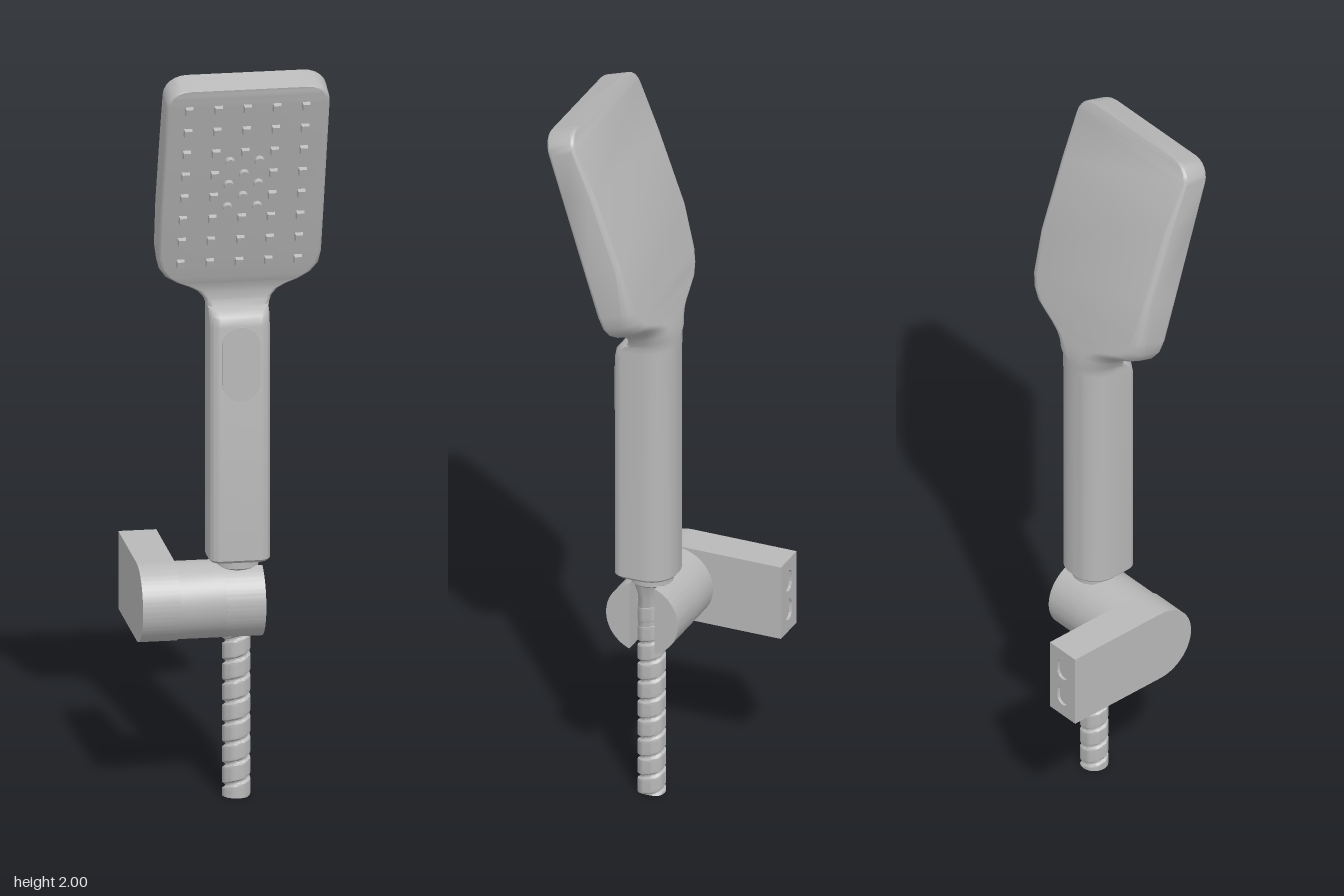
import * as THREE from 'three';
import { toCreasedNormals } from 'three/addons/utils/BufferGeometryUtils.js';

const CX = 0.02; // centre line of head, handle and hose
const CZ = 0.04; // depth of handle and holder axis
const HOLD_Y = 0.535;

// Rounded-rectangle ring between a front point and a back point
function ring([fy, fz, by, bz, w, rf, rb], seg = 7) {
  const T = Math.hypot(fy - by, fz - bz);
  const corners = [[1, 1, rf, 90], [1, -1, rb, 0], [-1, -1, rb, -90], [-1, 1, rf, -180]];
  const pts = [];
  for (const [sx, st, r, start] of corners) {
    for (let i = 0; i <= seg; i++) {
      const a = THREE.MathUtils.degToRad(start - (90 * i) / seg);
      const x = sx * (w - r) + r * Math.cos(a);
      const k = ((st > 0 ? T - r : r) + r * Math.sin(a)) / T;
      pts.push([CX + x, by + (fy - by) * k, bz + (fz - bz) * k]);
    }
  }
  return pts;
}

// Skin a list of rings and close both ends
function loft(rings) {
  const n = rings[0].length;
  const pos = rings.flat(2);
  const idx = [];
  for (let i = 0; i < rings.length - 1; i++) {
    for (let j = 0; j < n; j++) {
      const a = i * n + j, b = i * n + ((j + 1) % n);
      idx.push(a, b, b + n, a, b + n, a + n);
    }
  }
  const top = (rings.length - 1) * n;
  for (let j = 1; j < n - 1; j++) {
    idx.push(0, j + 1, j, top, top + j, top + j + 1);
  }
  const g = new THREE.BufferGeometry();
  g.setAttribute('position', new THREE.Float32BufferAttribute(pos, 3));
  g.setIndex(idx);
  return toCreasedNormals(g, 0.6);
}

// Upright pill outline
function pill(cx, cy, w, h, Type = THREE.Shape) {
  const s = new Type();
  s.absarc(cx, cy + h - w, w, 0, Math.PI, false);
  s.absarc(cx, cy - h + w, w, Math.PI, Math.PI * 2, false);
  s.closePath();
  return s;
}

// Extrude a (-z, y) outline along x from x0 to x1
function extrudeX(shape, x0, x1) {
  const g = new THREE.ExtrudeGeometry(shape, { depth: x1 - x0, bevelEnabled: false, curveSegments: 28 });
  g.rotateY(Math.PI / 2);
  g.translate(x0, 0, 0);
  return toCreasedNormals(g, 0.6);
}

export function createModel() {
  const model = new THREE.Group();
  const metal = new THREE.MeshStandardMaterial({ color: 0xb8b8b8 });
  metal.name = 'satin grey';
  const add = (name, geo, parent = model) => {
    const m = new THREE.Mesh(geo, metal);
    m.name = name;
    parent.add(m);
    return m;
  };

  // Handle, scooped neck and tilted head: frontY, frontZ, backY, backZ, half width, radii
  const rows = [
    [0.65, 0.114, 0.65, -0.029, 0.074, 0.03, 0.066],
    [0.657, 0.12, 0.657, -0.035, 0.08, 0.03, 0.07],
    [1.29, 0.12, 1.30, -0.035, 0.08, 0.03, 0.07],
    [1.315, 0.115, 1.33, -0.036, 0.08, 0.03, 0.07],
    [1.33, 0.10, 1.35, -0.036, 0.08, 0.03, 0.07],
    [1.337, 0.08, 1.365, -0.035, 0.083, 0.02, 0.06],
    [1.355, 0.074, 1.385, -0.032, 0.09, 0.02, 0.06],
    [1.375, 0.072, 1.405, -0.027, 0.108, 0.02, 0.06],
    [1.39, 0.074, 1.42, -0.022, 0.135, 0.02, 0.06],
    [1.402, 0.077, 1.435, -0.017, 0.165, 0.02, 0.055],
    [1.42, 0.082, 1.45, -0.012, 0.193, 0.018, 0.05],
    [1.445, 0.09, 1.475, -0.004, 0.21, 0.015, 0.04],
    [1.48, 0.101, 1.51, 0.005, 0.215, 0.012, 0.03],
    [1.60, 0.138, 1.63, 0.036, 0.215, 0.01, 0.02],
    [1.80, 0.2, 1.83, 0.111, 0.215, 0.01, 0.015],
  ];
  // Rounded upper corners, from the sides round to the top edge
  for (let i = 0; i <= 6; i++) {
    const a = (i / 6) * (Math.PI / 2);
    const d = 0.05 * (1 - Math.sin(a));
    const w = 0.165 + 0.05 * Math.cos(a);
    rows.push([1.975 - d * 0.955, 0.255 - d * 0.297, 2 - d * 0.94, 0.18 - d * 0.35, w, 0.01, 0.012]);
  }
  add('handleAndHead', loft(rows.map((r) => ring(r))));

  // Spray nozzles on the sloping face
  const nozzles = new THREE.Group();
  nozzles.name = 'nozzles';
  model.add(nozzles);
  const squareNozzle = new THREE.CylinderGeometry(0.013, 0.018, 0.024, 4).rotateY(Math.PI / 4).toNonIndexed();
  squareNozzle.computeVertexNormals();
  const roundNozzle = new THREE.CylinderGeometry(0.012, 0.015, 0.024, 10);
  const addNozzle = (geo, x, y) => {
    const m = add('nozzle', geo, nozzles);
    m.position.set(x, y, 0.101 + (y - 1.48) * 0.311);
    m.rotation.x = Math.PI / 2 + 0.301;
  };
  for (let r = 0; r < 8; r++) {
    for (let c = -2; c <= 2; c++) {
      const inner = c === 0 && r >= 3 && r <= 4;
      addNozzle(inner ? roundNozzle : squareNozzle, 0.018 + c * 0.077, 1.92 - r * 0.065);
    }
  }
  for (const y of [1.763, 1.695, 1.628]) {
    for (const s of [-1, 1]) addNozzle(roundNozzle, 0.018 + s * 0.039, y);
  }

  // Push button
  const button = new THREE.ExtrudeGeometry(pill(CX, 1.19, 0.05, 0.1), {
    depth: 0.007, bevelEnabled: false, curveSegments: 16,
  });
  add('button', toCreasedNormals(button, 0.6)).position.z = 0.117;

  // Collar tapering into the holder
  const collar = new THREE.LatheGeometry(
    [[0, 0.49], [0.036, 0.49], [0.036, 0.58], [0.048, 0.62], [0.058, 0.628], [0.058, 0.655], [0, 0.655]]
      .map(([x, y]) => new THREE.Vector2(x, y)), 32);
  add('collar', toCreasedNormals(collar, 0.5)).position.set(CX, 0, CZ);

  // Hose with a spiral groove
  const len = 0.56, pitch = 0.056;
  const hose = new THREE.CylinderGeometry(0.037, 0.037, len, 28, 180);
  hose.translate(0, len / 2, 0);
  const p = hose.attributes.position;
  for (let i = 0; i < p.count; i++) {
    const x = p.getX(i), z = p.getZ(i);
    const t = p.getY(i) / pitch + Math.atan2(z, x) / (Math.PI * 2);
    const f = Math.abs(t - Math.floor(t) - 0.5) * 2; // 1 in the groove
    const k = 1 - 0.2 * THREE.MathUtils.smoothstep(f, 0.72, 0.92);
    p.setX(i, x * k);
    p.setZ(i, z * k);
  }
  add('hose', toCreasedNormals(hose, 0.7)).position.set(CX, 0, CZ);

  // Holder barrel with a two-pronged fork open at the side
  const holder = new THREE.Group();
  holder.name = 'holder';
  model.add(holder);
  const R = 0.102;
  const disc = new THREE.Shape().absarc(-CZ, HOLD_Y, R, 0, Math.PI * 2, false);
  add('barrel', extrudeX(disc, -0.145, -0.02), holder);
  const half = Math.acos(0.036 / R);
  for (const mid of [0, Math.PI]) {
    const s = new THREE.Shape().absarc(-CZ, HOLD_Y, R, mid - half, mid + half, false);
    s.closePath();
    add('prong', extrudeX(s, -0.02, 0.083), holder);
  }

  // Wall bracket: round front, flat back
  const arm = new THREE.Shape();
  arm.moveTo(0.247, HOLD_Y - 0.105);
  arm.lineTo(0.247, HOLD_Y + 0.105);
  arm.lineTo(-CZ, HOLD_Y + 0.105);
  arm.absarc(-CZ, HOLD_Y, 0.105, Math.PI / 2, Math.PI * 1.5, false);
  arm.closePath();
  add('wallArm', extrudeX(arm, -0.242, -0.142), holder);

  // Back plate with two screw slots
  const plate = new THREE.Shape();
  plate.moveTo(-0.05, -0.105);
  plate.lineTo(0.05, -0.105);
  plate.lineTo(0.05, 0.105);
  plate.lineTo(-0.05, 0.105);
  plate.closePath();
  for (const y of [-0.042, 0.042]) plate.holes.push(pill(0, y, 0.02, 0.03, THREE.Path));
  const plateGeo = new THREE.ExtrudeGeometry(plate, { depth: 0.009, bevelEnabled: false, curveSegments: 10 });
  add('backPlate', toCreasedNormals(plateGeo, 0.6), holder).position.set(-0.192, HOLD_Y, -0.255);

  return model;
}
